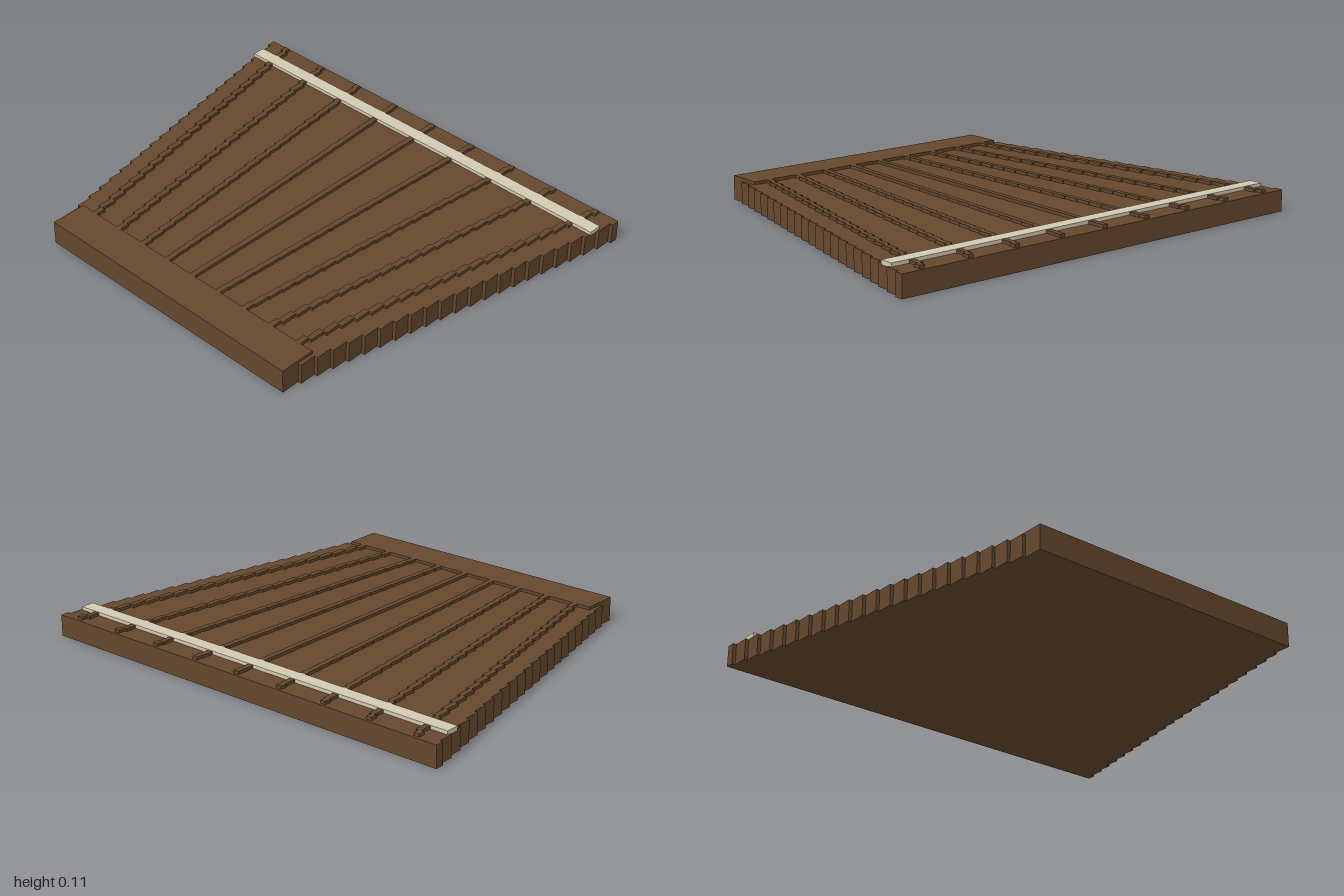
import * as THREE from 'three';

const DECK_TOP = 0.094, TRIM_TOP = 0.107, BACK = -0.815, FRONT = 0.815;

// Extrudes a stepped outline upward; each row is { z0, z1, left, right }
function steppedSlab(rows, bottom, top) {
  const pts = [];
  rows.forEach(r => pts.push(new THREE.Vector2(r.right, -r.z0), new THREE.Vector2(r.right, -r.z1)));
  [...rows].reverse().forEach(r => pts.push(new THREE.Vector2(r.left, -r.z1), new THREE.Vector2(r.left, -r.z0)));
  const geo = new THREE.ExtrudeGeometry(new THREE.Shape(pts), { depth: top - bottom, bevelEnabled: false });
  geo.rotateX(-Math.PI / 2);
  geo.translate(0, bottom, 0);
  return geo;
}

// Splits a length into rows with a short first and a short or long last one
function rowBounds(start, first, pitch, count, end) {
  const z = [start];
  for (let i = 0; i < count - 1; i++) z.push(first + pitch * i);
  z.push(end);
  return z;
}

export function createModel() {
  const model = new THREE.Group();
  const wood = new THREE.MeshStandardMaterial({ color: 0x64472d });
  const paleWood = new THREE.MeshStandardMaterial({ color: 0xd2c9b1 });
  wood.name = 'brown wood';
  paleWood.name = 'pale inlay';

  const add = (name, geo, mat) => {
    const mesh = new THREE.Mesh(geo, mat);
    mesh.name = name;
    model.add(mesh);
  };
  const addBox = (name, mat, width, y0, y1, z0, z1) => {
    const geo = new THREE.BoxGeometry(width, y1 - y0, z1 - z0);
    geo.translate(0, (y0 + y1) / 2, (z0 + z1) / 2);
    add(name, geo, mat);
  };

  // Tapering deck with stepped sides
  const deckZ = rowBounds(BACK, -0.777, 0.0718, 23, FRONT);
  const deckRows = [];
  for (let i = 0; i < 23; i++) {
    const half = 1 - (0.34 * i) / 22;
    deckRows.push({ z0: deckZ[i], z1: deckZ[i + 1], left: -half, right: half });
  }
  add('deck', steppedSlab(deckRows, 0, DECK_TOP), wood);

  // Fan of stepped ribs
  const ribZ = rowBounds(-0.803, -0.773, 0.0692, 22, 0.657);
  for (let n = -4; n <= 4; n++) {
    const rows = [];
    for (let i = 0; i < 22; i++) {
      const x = n * (0.2245 - (0.078 * i) / 21);
      rows.push({ z0: ribZ[i], z1: ribZ[i + 1], left: x - 0.0125, right: x + 0.0125 });
    }
    add('rib' + (n + 5), steppedSlab(n === 0 ? [{ ...rows[0], z1: 0.657 }] : rows, DECK_TOP - 0.004, TRIM_TOP), wood);
  }

  // Raised front board and pale cross strip
  addBox('frontBoard', wood, 1.32, DECK_TOP - 0.004, TRIM_TOP, 0.655, FRONT);
  addBox('crossStrip', paleWood, 1.95, DECK_TOP - 0.004, TRIM_TOP + 0.002, -0.72, -0.66);

  return model;
}
